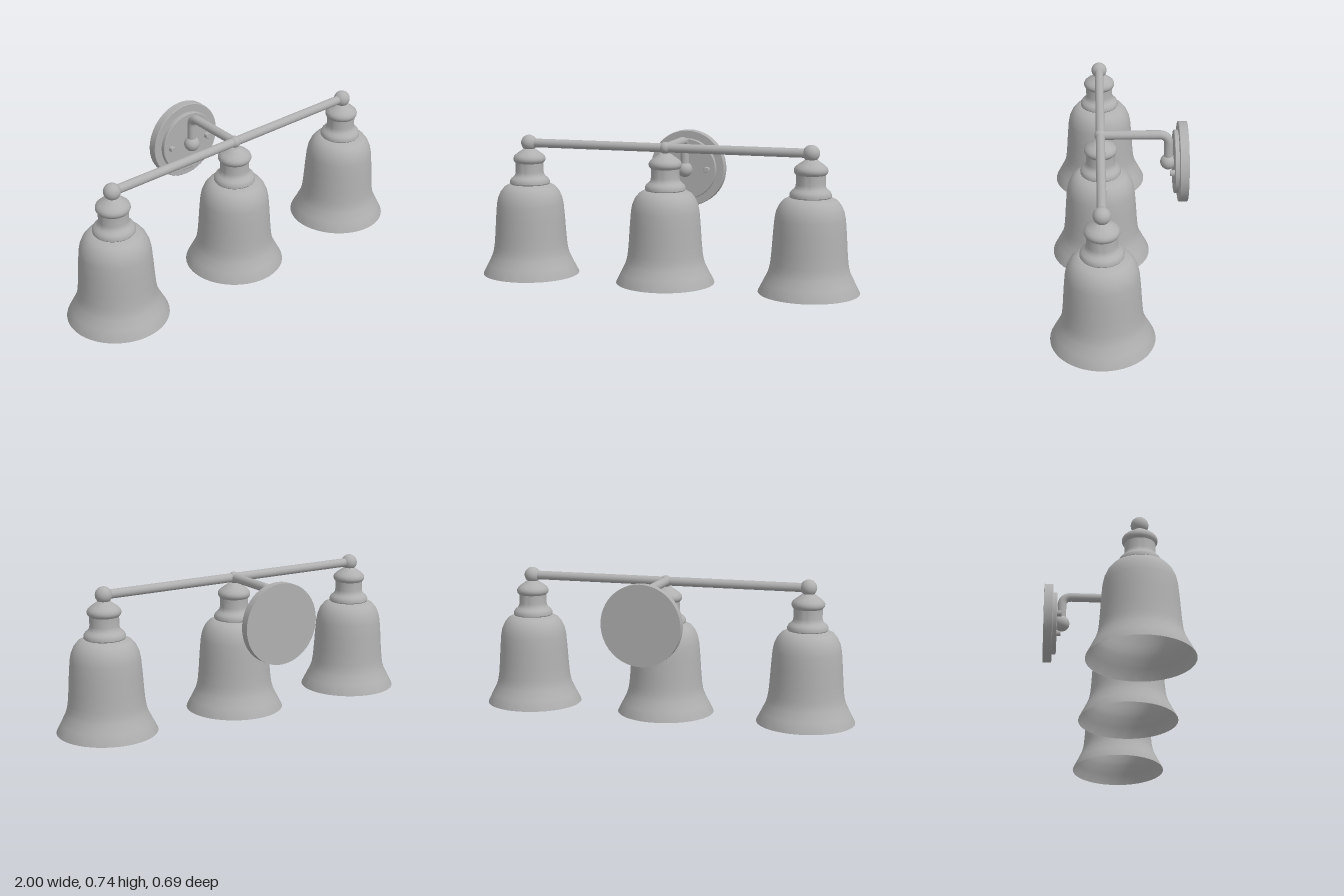
import * as THREE from 'three';
import { toCreasedNormals } from 'three/addons/utils/BufferGeometryUtils.js';

const metal = new THREE.MeshStandardMaterial({ color: 0xb0b0b0, side: THREE.DoubleSide });
metal.name = 'brushed grey';

const BAR_Y = 0.693, LAMP_Z = 0.093, PLATE_Y = 0.537, SPACING = 0.747;

function add(parent, name, geometry, x = 0, y = 0, z = 0) {
  const mesh = new THREE.Mesh(geometry, metal);
  mesh.name = name;
  mesh.position.set(x, y, z);
  parent.add(mesh);
  return mesh;
}

// Turned part from [radius, height] pairs, bottom to top
function turned(profile, crease = 0.6) {
  const points = profile.map(([r, y]) => new THREE.Vector2(r, y));
  return toCreasedNormals(new THREE.LatheGeometry(points, 48), crease);
}

// Flat round part facing +z, between two depths
function disc(radius, zBack, zFront, bevel) {
  const d = zFront - zBack;
  return turned([[0, 0], [radius, 0], [radius, d - bevel], [radius - bevel, d], [0, d]])
    .rotateX(Math.PI / 2).translate(0, 0, zBack);
}

function createLamp(x) {
  const lamp = new THREE.Group();
  lamp.name = 'lamp';
  lamp.position.set(x, 0, LAMP_Z);
  // Open bell shade
  add(lamp, 'bellShade', turned([
    [0.253, 0], [0.252, 0.004], [0.227, 0.053], [0.205, 0.098], [0.197, 0.125], [0.192, 0.155],
    [0.187, 0.21], [0.181, 0.3], [0.175, 0.37], [0.168, 0.405], [0.154, 0.437],
    [0.134, 0.462], [0.106, 0.477], [0.06, 0.478],
  ]));
  // Collar holding the shade
  add(lamp, 'collar', turned([
    [0, 0.476], [0.1, 0.476], [0.104, 0.481], [0.104, 0.493], [0.097, 0.506], [0.084, 0.517],
    [0.076, 0.527], [0.073, 0.542], [0.073, 0.588], [0.081, 0.597], [0.084, 0.604],
    [0.084, 0.614], [0.079, 0.625], [0.066, 0.637], [0.04, 0.655], [0.03, 0.663], [0, 0.665],
  ]));
  return lamp;
}

export function createModel() {
  const model = new THREE.Group();
  model.name = 'wallLight';

  // Three lamps under the crossbar, joined by balls
  for (const side of [-1, 0, 1]) {
    const x = side * SPACING;
    model.add(createLamp(x));
    add(model, 'barBall', new THREE.SphereGeometry(side ? 0.042 : 0.03, 32, 20), x, BAR_Y, LAMP_Z);
  }
  add(model, 'crossbar', new THREE.CylinderGeometry(0.023, 0.023, 2 * SPACING, 24).rotateZ(Math.PI / 2),
    0, BAR_Y, LAMP_Z);

  // Bent arm from the crossbar back to the wall plate
  const armZ = -0.252, bend = 0.052;
  const path = new THREE.CurvePath();
  const p = (y, z) => new THREE.Vector3(0, y, z);
  path.add(new THREE.LineCurve3(p(BAR_Y, LAMP_Z), p(BAR_Y, armZ + bend)));
  path.add(new THREE.QuadraticBezierCurve3(p(BAR_Y, armZ + bend), p(BAR_Y, armZ), p(BAR_Y - bend, armZ)));
  path.add(new THREE.LineCurve3(p(BAR_Y - bend, armZ), p(PLATE_Y, armZ)));
  add(model, 'arm', new THREE.TubeGeometry(path, 80, 0.023, 24));
  add(model, 'armBall', new THREE.SphereGeometry(0.041, 32, 20), 0, PLATE_Y, armZ);

  // Wall plate with its raised disc and two screws
  add(model, 'wallPlate', disc(0.205, -0.347, -0.301, 0.003), 0, PLATE_Y);
  add(model, 'raisedDisc', disc(0.162, -0.302, -0.279, 0.003), 0, PLATE_Y);
  for (const side of [-1, 1]) {
    add(model, 'screw', disc(0.015, -0.282, -0.255, 0.002), side * 0.117, PLATE_Y);
  }
  return model;
}
